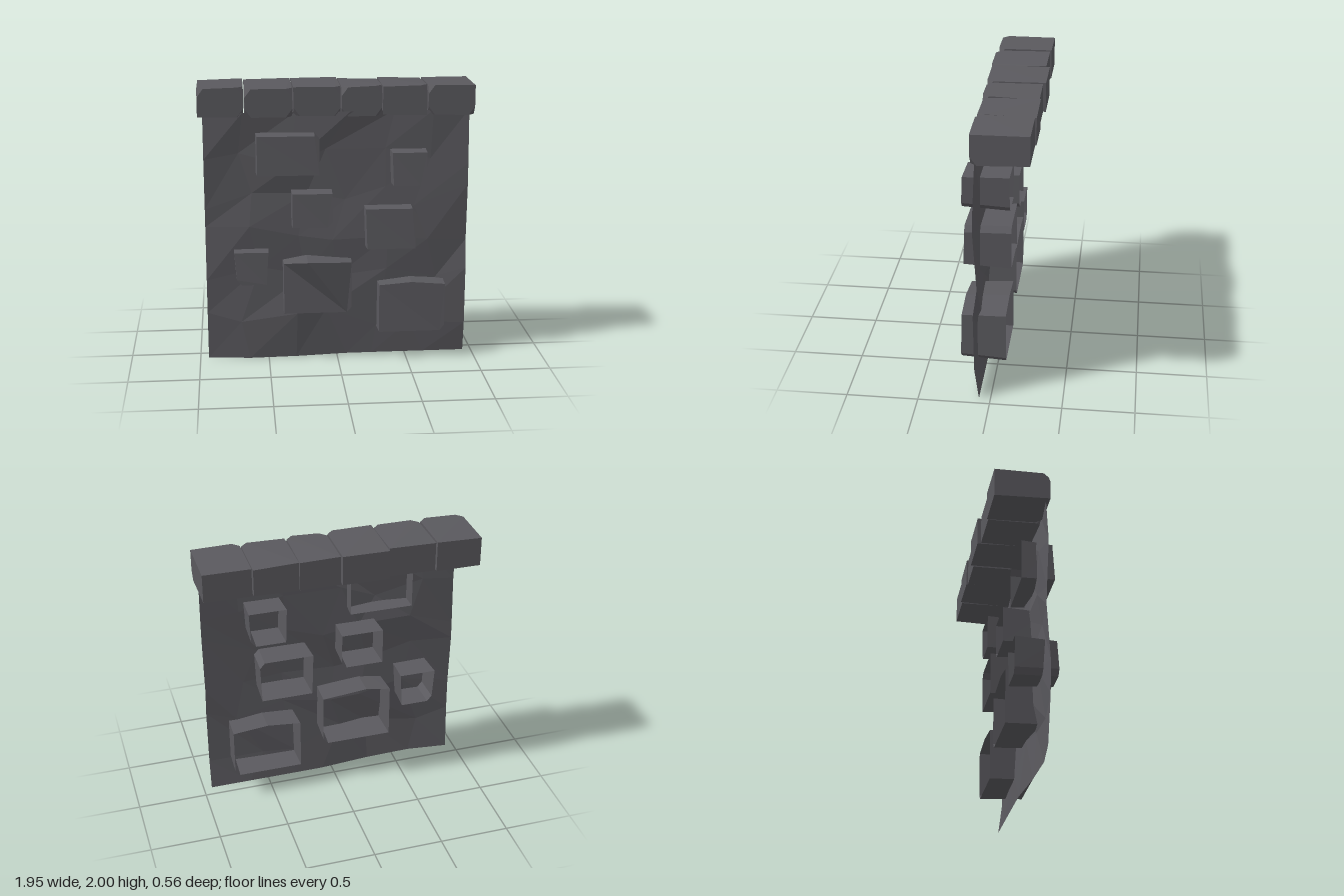
import * as THREE from 'three';
import { ConvexGeometry } from 'three/addons/geometries/ConvexGeometry.js';

const stoneGrey = new THREE.MeshStandardMaterial({ color: 0x5a595e, flatShading: true, side: THREE.DoubleSide });
stoneGrey.name = 'stoneGrey';

function seeded(seed) {
  return () => (seed = (seed * 16807) % 2147483647) / 2147483647;
}

// Thin, slightly uneven wall sheet
function wallSheet() {
  const rand = seeded(77);
  const n = 6, w = 1.88, h = 1.82;
  const geo = new THREE.PlaneGeometry(w, h, n, n);
  const p = geo.attributes.position;
  for (let i = 0; i < p.count; i++) {
    const col = i % (n + 1), row = Math.floor(i / (n + 1));
    let x = p.getX(i), y = p.getY(i) + h / 2;
    const jx = (rand() - 0.5) * 0.2, jy = (rand() - 0.5) * 0.18, jz = (rand() - 0.5) * 0.035;
    if (col > 0 && col < n) x += jx;
    if (row > 0 && row < n) y += jy;
    // the lower edge tucks back, with a bulge just above it
    const z = row === n
      ? 0.08 + 0.05 * Math.exp(-(((x + 0.5) / 0.3) ** 2))
      : 0.105 + jz + 0.07 * Math.exp(-(((x + 0.35) / 0.3) ** 2) - ((y - 0.22) / 0.14) ** 2);
    p.setXYZ(i, x, y, z);
  }
  return geo;
}

// Hollow stone, open at the back. taper narrows the bottom, chip cuts one front
// corner (0 = lower right end, counter-clockwise), ridge adds a raised point [x, rise, z] on top
function hollowStone({ x: [x0, x1], y: [y0, y1], z: [zb, zf], taper = 0, chip = 2, ridge }) {
  const cx = (x0 + x1) / 2, cy = (y0 + y1) / 2;
  const corners = [[x1 - taper, y0], [x1, y1], [x0, y1], [x0 + taper, y0]];
  const back = [], front = [];
  corners.forEach(([x, y], i) => {
    const sx = Math.sign(x - cx), sy = Math.sign(y - cy);
    const fx = x - sx * 0.012, fy = y - sy * 0.012;
    const fz = zf - 0.008 * (i % 3);
    if (i === chip) {
      const ends = [[x - sx * 0.035, y], [x, y - sy * 0.04]];
      const inner = [[fx - sx * 0.035, fy, fz], [fx, fy - sy * 0.04, fz]];
      const flip = sx * sy > 0;
      back.push(...(flip ? ends.reverse() : ends));
      front.push(...(flip ? inner.reverse() : inner));
    } else {
      back.push([x, y]);
      front.push([fx, fy, fz]);
    }
    if (i === 1 && ridge) {
      back.push([ridge[0], y1 + ridge[1]]);
      front.push([ridge[0], y1 + ridge[1] - 0.015, ridge[2]]);
    }
  });
  const n = front.length, pos = [], idx = [];
  front.forEach((v) => pos.push(...v));
  back.forEach((v) => pos.push(...v, zb));
  for (let i = 0; i < n; i++) {
    const j = (i + 1) % n;
    idx.push(i, n + i, n + j, i, n + j, j);
    if (i > 0 && i < n - 1) idx.push(0, i, i + 1);
  }
  const geo = new THREE.BufferGeometry();
  geo.setAttribute('position', new THREE.Float32BufferAttribute(pos, 3));
  geo.setIndex(idx);
  const flat = geo.toNonIndexed();
  flat.computeVertexNormals();
  return flat;
}

const stones = {
  upperWideStone: { x: [-0.58, -0.12], y: [1.38, 1.68], z: [-0.01, 0.23], chip: 1 },
  upperLeftStone: { x: [0.37, 0.64], y: [1.29, 1.55], z: [-0.1, 0.23], taper: 0.01, chip: 0 },
  centreStone: { x: [-0.335, -0.03], y: [1, 1.265], z: [-0.1, 0.23], chip: 0 },
  middleLeftStone: { x: [0.185, 0.575], y: [0.83, 1.145], z: [-0.105, 0.23], taper: 0.01, chip: 1 },
  smallRightStone: { x: [-0.75, -0.485], y: [0.58, 0.84], z: [-0.09, 0.215], taper: 0.015, chip: 3 },
  wedgeStone: { x: [-0.4, 0.11], y: [0.355, 0.75], z: [-0.095, 0.21], chip: 0, ridge: [-0.22, 0.03, 0.275] },
  lowerLeftStone: { x: [0.285, 0.785], y: [0.2, 0.575], z: [-0.09, 0.225], chip: 0, ridge: [0.53, 0.025, 0.22] },
};

// Coping block: hull of a slightly uneven box with some chipped front corners
function copingBlock(x0, x1, zBack, zFront, rand) {
  const pts = [];
  for (const x of [x0, x1]) for (const top of [false, true]) for (const z of [zBack, zFront]) {
    const y = top ? 1.985 + rand() * 0.015 : 1.78 + rand() * 0.015;
    const dx = x === x0 ? 0.045 : -0.045, dy = top ? -0.06 : 0.06;
    if (z === zFront && rand() < 0.55) {
      pts.push(new THREE.Vector3(x + dx, y, z), new THREE.Vector3(x, y + dy, z), new THREE.Vector3(x, y, z - 0.045));
    } else pts.push(new THREE.Vector3(x, y, z));
  }
  return new ConvexGeometry(pts);
}

export function createModel() {
  const model = new THREE.Group();
  model.name = 'stoneWall';
  const add = (name, geo) => {
    const mesh = new THREE.Mesh(geo, stoneGrey);
    mesh.name = name;
    model.add(mesh);
  };
  add('wallSheet', wallSheet());
  for (const name in stones) add(name, hollowStone(stones[name]));

  // Row of coping blocks along the top
  const rand = seeded(4211);
  const joints = [-0.975, -0.65, -0.31, 0.028, 0.32, 0.64, 0.975];
  const backs = [-0.27, -0.26, -0.285, -0.265, -0.275, -0.265];
  const fronts = [0.12, 0.135, 0.125, 0.12, 0.11, 0.12];
  fronts.forEach((front, i) => {
    const x0 = joints[i] + (i > 0 ? 0.004 : 0), x1 = joints[i + 1] - (i < 5 ? 0.004 : 0);
    add('copingBlock' + (i + 1), copingBlock(x0, x1, backs[i], front, rand));
  });
  return model;
}
